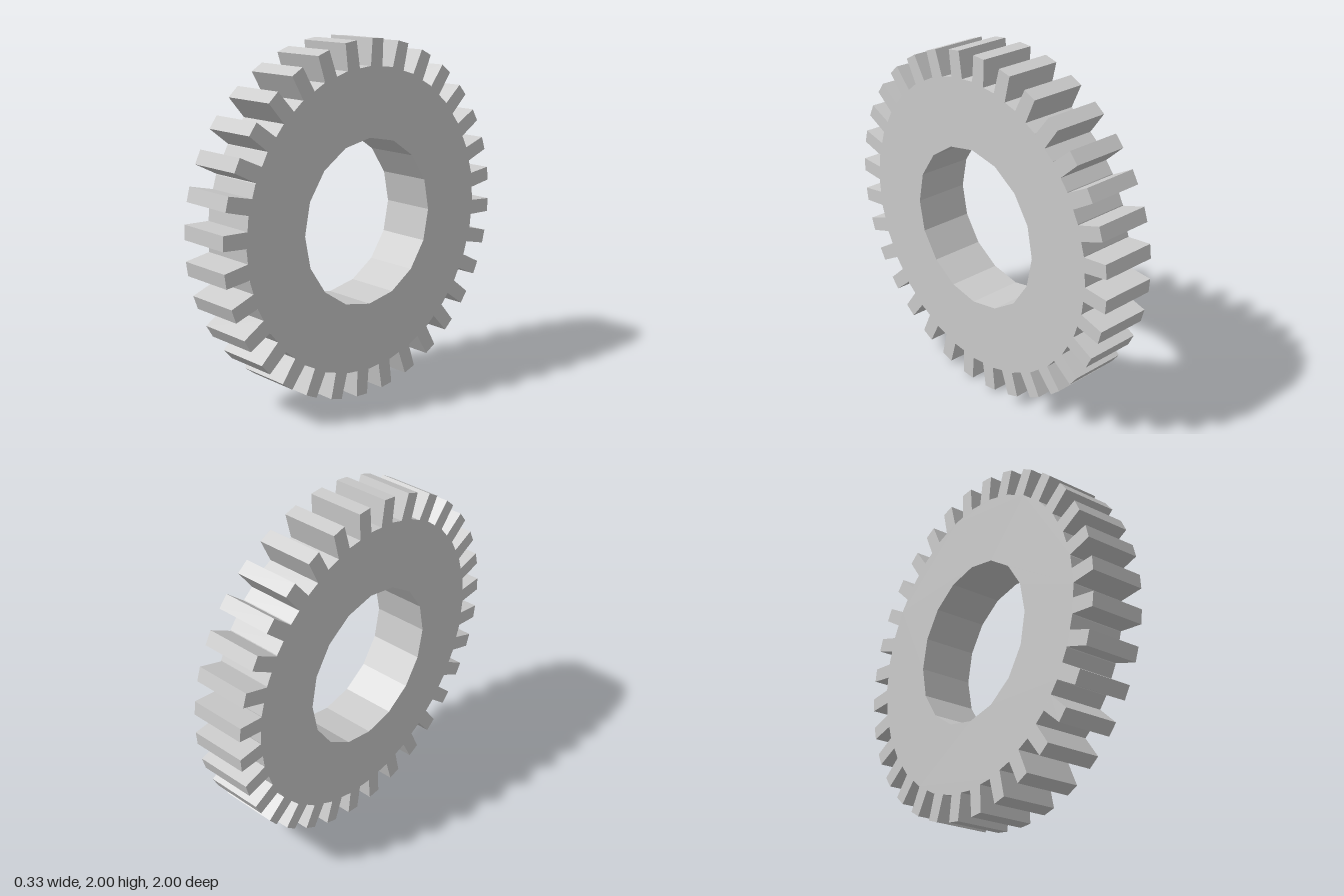
import * as THREE from 'three';

const TEETH = 32, ROOT = 0.853, TIP = 0.998, HALF_BASE = 0.043, HALF_TIP = 0.04;
const BORE = 0.468, BORE_SIDES = 16, THICKNESS = 0.326;

// Point at a clockwise angle from the top: u along the tangent, r outward
function polar(angle, r, u = 0) {
  const s = Math.sin(angle), c = Math.cos(angle);
  return new THREE.Vector2(r * s + u * c, r * c - u * s);
}

export function createModel() {
  const group = new THREE.Group();
  group.name = 'gear';

  // Outline: a root corner followed by one slightly tapered tooth per step
  const outline = [];
  const step = (Math.PI * 2) / TEETH;
  const offset = THREE.MathUtils.degToRad(3.2);
  for (let i = 0; i < TEETH; i++) {
    const a = i * step, t = a + offset;
    outline.push(
      polar(a, ROOT),
      polar(t, ROOT - 0.002, -HALF_BASE),
      polar(t, TIP, -HALF_TIP),
      polar(t, TIP, HALF_TIP),
      polar(t, ROOT - 0.005, HALF_BASE),
    );
  }
  const shape = new THREE.Shape(outline);

  // Faceted central bore, wound opposite to the outline so its wall faces inward
  const bore = [];
  for (let i = 0; i < BORE_SIDES; i++) bore.push(polar((-i * Math.PI * 2) / BORE_SIDES, BORE));
  shape.holes.push(new THREE.Path(bore));

  const geometry = new THREE.ExtrudeGeometry(shape, { depth: THICKNESS, bevelEnabled: false });
  geometry.translate(0, 0, -THICKNESS / 2);
  geometry.rotateY(Math.PI / 2); // axle along x
  geometry.translate(0, 1, 0);

  const wheel = new THREE.Mesh(
    geometry,
    new THREE.MeshStandardMaterial({ color: 0xcccccc, flatShading: true }),
  );
  wheel.name = 'toothedWheel';
  group.add(wheel);
  return group;
}
